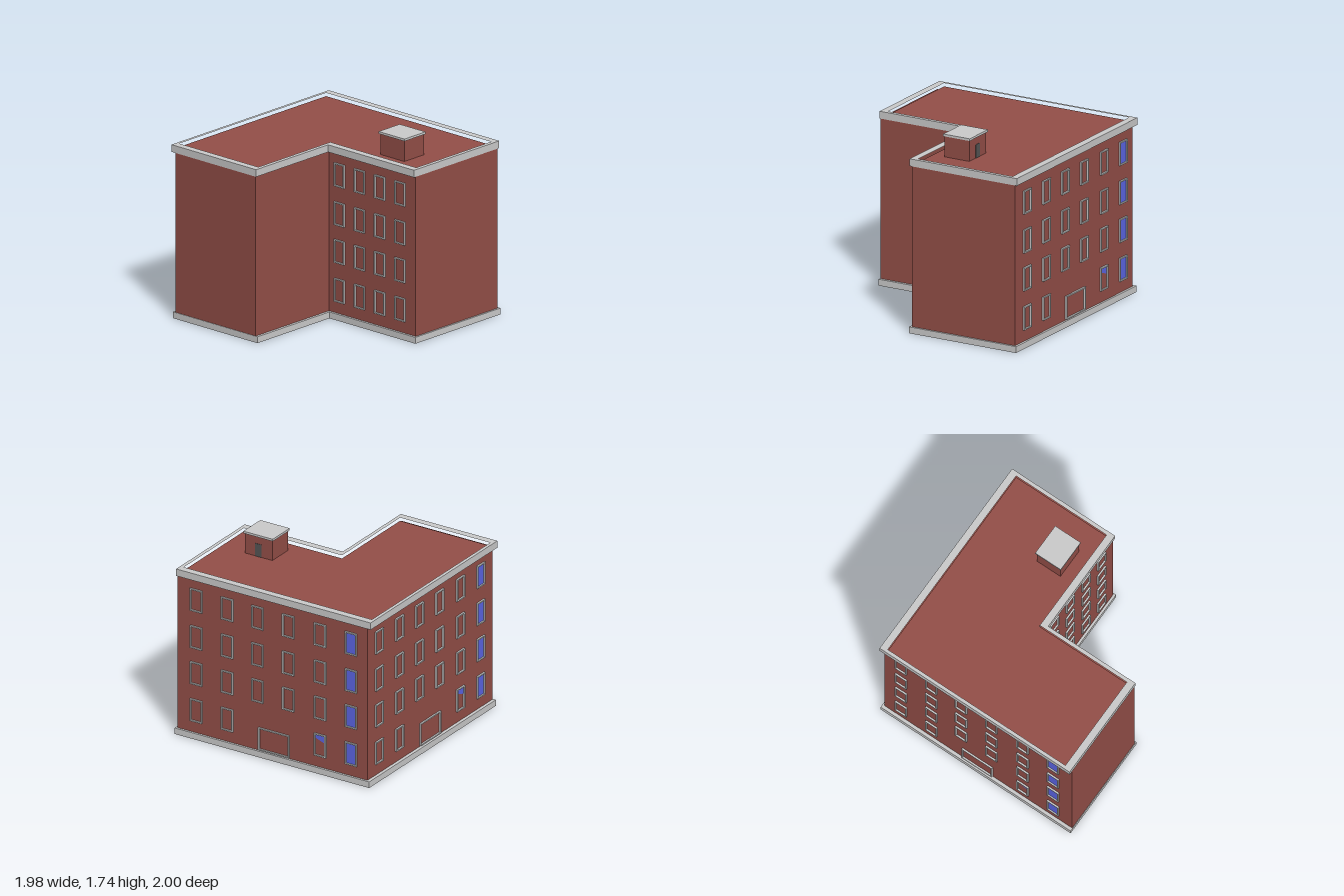
import * as THREE from 'three';

const mat = (color) => new THREE.MeshStandardMaterial({ color });
const brick = mat(0x944f48), stone = mat(0xcccccc), glass = mat(0x5c66e6), dark = mat(0x555555);

// L-shaped outline: full depth on the right wing, cut off at zi on the left wing
function outline(x0, x1, xi, z0, z1, zi, Type = THREE.Shape) {
  const pts = [[x0, z0], [x1, z0], [x1, z1], [xi, z1], [xi, zi], [x0, zi]];
  return new Type(pts.map(([x, z]) => new THREE.Vector2(x, -z)));
}

function slab(name, shape, y0, y1, material) {
  const geo = new THREE.ExtrudeGeometry(shape, { depth: y1 - y0, bevelEnabled: false });
  geo.rotateX(-Math.PI / 2).translate(0, y0, 0);
  const mesh = new THREE.Mesh(geo, material);
  mesh.name = name;
  return mesh;
}

function box(name, x0, x1, y0, y1, z0, z1, material) {
  const mesh = new THREE.Mesh(new THREE.BoxGeometry(x1 - x0, y1 - y0, z1 - z0), material);
  mesh.position.set((x0 + x1) / 2, (y0 + y1) / 2, (z0 + z1) / 2);
  mesh.name = name;
  return mesh;
}

function polygon(points, Type = THREE.Shape) {
  return new Type(points.map(([x, y]) => new THREE.Vector2(x, y)));
}

const rect = (x0, x1, y0, y1, Type) => polygon([[x0, y0], [x1, y0], [x1, y1], [x0, y1]], Type);

// Raised rectangular surround, in the plane of a wall facing +z
function frame(name, x0, x1, y0, y1) {
  const b = 0.011;
  const shape = rect(x0, x1, y0, y1);
  shape.holes.push(rect(x0 + b, x1 - b, y0 + b, y1 - b, THREE.Path));
  const mesh = new THREE.Mesh(new THREE.ExtrudeGeometry(shape, { depth: 0.016, bevelEnabled: false }), stone);
  mesh.name = name;
  return mesh;
}

function pane(shape) {
  const mesh = new THREE.Mesh(new THREE.ShapeGeometry(shape), glass);
  mesh.position.z = 0.003;
  mesh.name = 'windowPane';
  return mesh;
}

const FLOORS = [0.16, 0.51, 0.85, 1.2];
const WIN_W = 0.12, WIN_H = 0.21;

// Grid of window surrounds
function windowWall(name, columns, hasDoor) {
  const wall = new THREE.Group();
  wall.name = name;
  FLOORS.forEach((y, floor) => {
    columns.forEach((u, i) => {
      if (hasDoor && floor === 0 && (i === 2 || i === 3)) return;
      const x0 = u - WIN_W / 2, x1 = u + WIN_W / 2;
      wall.add(frame('windowFrame', x0, x1, y, y + WIN_H));
      if (hasDoor && i === 5) wall.add(pane(rect(x0 + 0.01, x1 - 0.01, y + 0.01, y + WIN_H - 0.01)));
      if (hasDoor && i === 4 && floor === 0) {
        const top = y + WIN_H - 0.01;
        wall.add(pane(polygon([[x0 + 0.01, 0.325], [x1 - 0.01, 0.29], [x1 - 0.01, top], [x0 + 0.01, top]])));
      }
    });
  });
  if (hasDoor) wall.add(frame('doorFrame', -0.155, 0.16, 0.065, 0.275));
  return wall;
}

export function createModel() {
  const model = new THREE.Group();
  model.name = 'building';

  // Plinth, brick body and roof deck
  model.add(slab('plinth', outline(-0.99, 0.985, -0.085, -0.985, 1, 0), 0, 0.057, stone));
  model.add(slab('walls', outline(-0.985, 0.965, -0.063, -0.955, 0.983, -0.025), 0.05, 1.5, brick));
  model.add(slab('roofDeck', outline(-0.925, 0.92, -0.02, -0.97, 0.95, -0.05), 1.497, 1.53, brick));

  // Parapet ring
  const ring = outline(-0.99, 0.985, -0.085, -1, 0.985, -0.015);
  ring.holes.push(outline(-0.925, 0.92, -0.02, -0.97, 0.95, -0.05, THREE.Path));
  model.add(slab('parapet', ring, 1.495, 1.56, stone));

  // Windows and doors on the right, back and courtyard walls
  const columns = [-0.79, -0.475, -0.165, 0.15, 0.475, 0.79];
  const right = windowWall('rightWindows', columns, true);
  right.rotation.y = Math.PI / 2;
  right.position.x = 0.965;
  const back = windowWall('backWindows', columns, true);
  back.rotation.y = Math.PI;
  back.position.z = -0.955;
  const court = windowWall('courtyardWindows', [0.1, 0.335, 0.57, 0.805], false);
  court.rotation.y = -Math.PI / 2;
  court.position.x = -0.063;
  model.add(right, back, court);

  // Rooftop stair hut
  const hut = new THREE.Group();
  hut.name = 'roofHut';
  hut.add(box('hutWalls', 0.095, 0.34, 1.52, 1.72, 0.425, 0.705, brick));
  hut.add(box('hutCap', 0.085, 0.35, 1.717, 1.737, 0.415, 0.715, stone));
  hut.add(box('hutDoor', 0.32, 0.343, 1.53, 1.65, 0.535, 0.6, dark));
  model.add(hut);
  return model;
}
